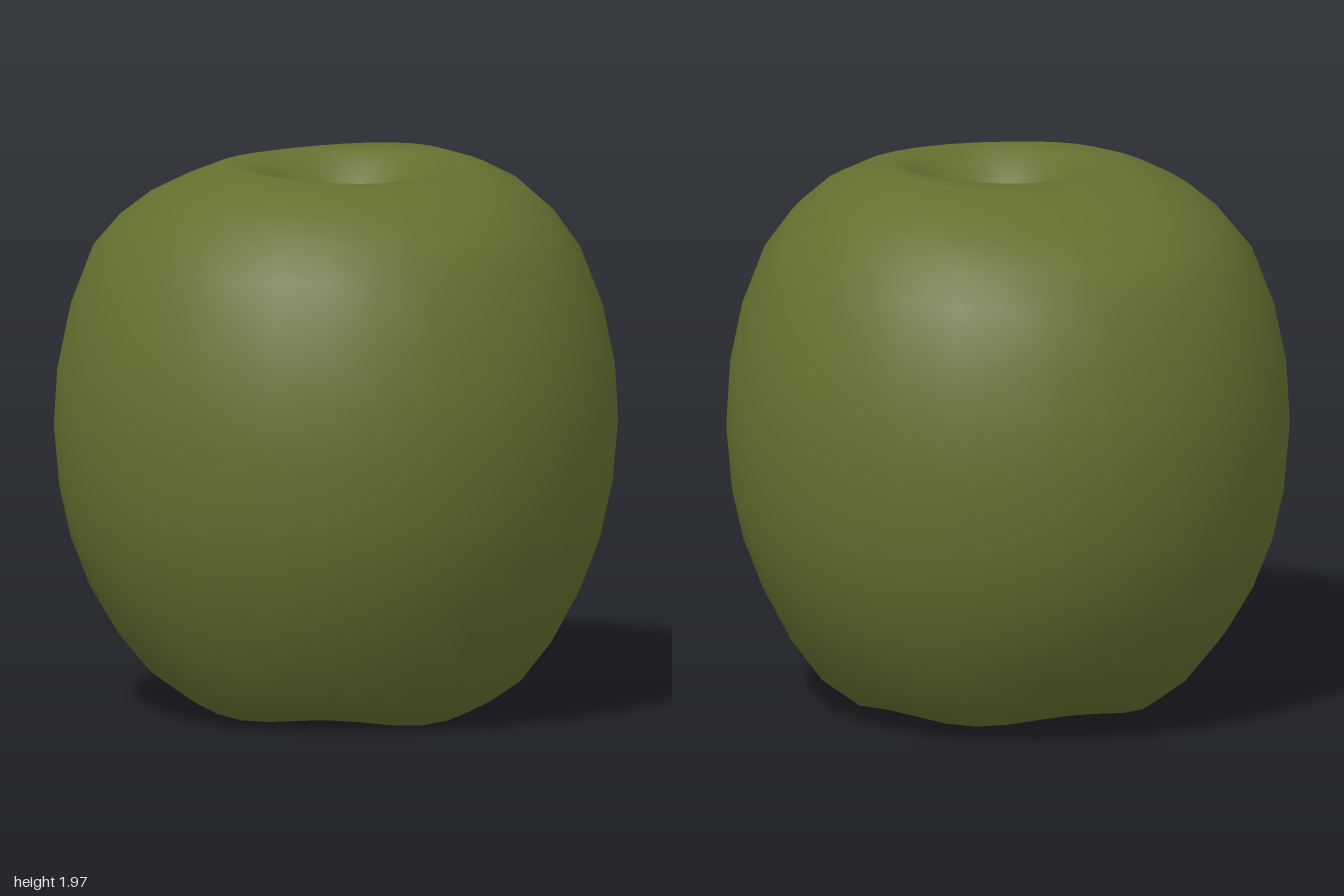
import * as THREE from 'three';
import { mergeVertices } from 'three/addons/utils/BufferGeometryUtils.js';

// Half profile [radius, height] from the bottom hollow, round the side, to the stem hollow
const PROFILE = [
  [0, 0.3], [0.07, 0.28], [0.16, 0.2], [0.27, 0.11], [0.37, 0.05], [0.46, 0.03], [0.55, 0.04],
  [0.66, 0.12], [0.77, 0.26], [0.87, 0.44], [0.94, 0.62], [0.98, 0.8], [1, 1.02], [0.988, 1.22],
  [0.945, 1.43], [0.865, 1.64], [0.77, 1.76], [0.66, 1.85], [0.54, 1.91], [0.42, 1.95],
  [0.33, 1.935], [0.25, 1.87], [0.17, 1.77], [0.08, 1.66], [0.025, 1.62], [0, 1.61],
];

function smooth(a, b, v) {
  return THREE.MathUtils.smoothstep(v, a, b);
}

// Turned body, then shaped with five soft lobes and slightly uneven rims
function fruitGeometry() {
  const points = PROFILE.map(([r, y]) => new THREE.Vector2(r, y));
  let geometry = new THREE.LatheGeometry(points, 30);
  geometry.deleteAttribute('uv');
  geometry.deleteAttribute('normal');
  const pos = geometry.attributes.position;
  for (let i = 0; i < pos.count; i++) {
    let x = pos.getX(i), y = pos.getY(i), z = pos.getZ(i);
    const r = Math.hypot(x, z);
    const angle = Math.atan2(z, x);
    const rim = smooth(0.08, 0.4, r);
    const low = (1 - smooth(0.05, 0.5, y)) * rim;
    const high = smooth(1.6, 1.95, y) * rim;
    const lobes = Math.cos(5 * (angle - Math.PI / 2));
    // Lobes at the foot, lowest at the front
    y -= low * (0.014 * lobes + 0.04 * z);
    // Uneven shoulder, highest at the model's left
    y += high * (0.012 * Math.cos(2 * angle) + 0.02 * x + 0.025 * z);
    // Steeper wall at the back of the stem hollow, gentler slope at the front
    if (y > 1.5) {
      const inner = smooth(0.02, 0.15, r) * (1 - smooth(0.3, 0.5, r));
      z += 0.05 * inner;
      y -= 0.04 * inner * Math.sin(angle);
    }
    pos.setXYZ(i, x, y, z);
  }
  geometry = mergeVertices(geometry, 1e-4);
  geometry.computeVertexNormals();
  return geometry;
}

export function createModel() {
  const group = new THREE.Group();
  group.name = 'apple';
  const skin = new THREE.MeshStandardMaterial({ color: 0x667030 });
  skin.name = 'olive green skin';

  const body = new THREE.Mesh(fruitGeometry(), skin);
  body.name = 'fruitBody';
  // Rest the lowest lobe on the ground
  body.geometry.computeBoundingBox();
  body.position.y = -body.geometry.boundingBox.min.y;
  group.add(body);
  return group;
}
